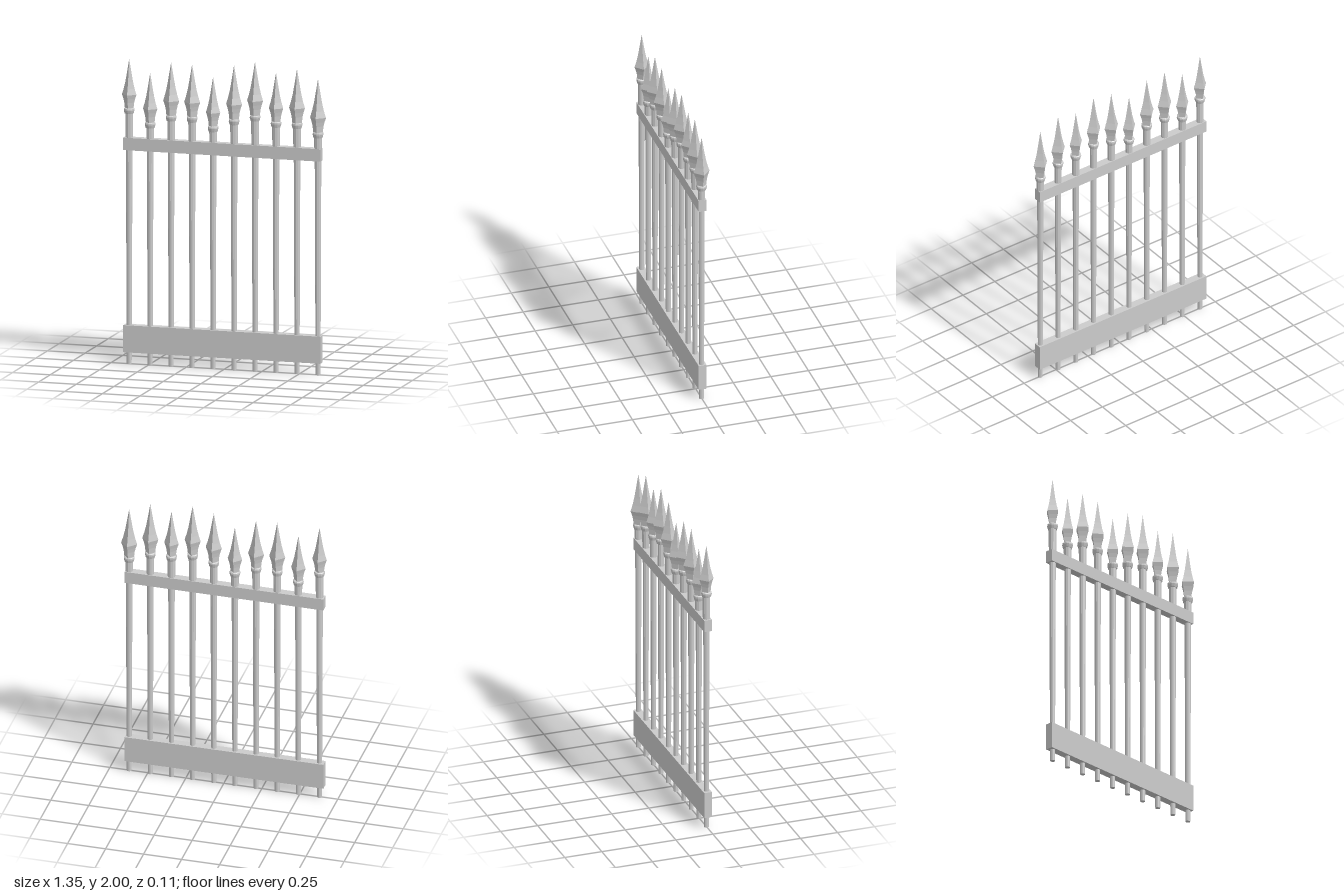
import * as THREE from 'three';

const flat = new THREE.MeshStandardMaterial({ color: 0xcccccc, flatShading: true });

function lathe(name, points, sides) {
  const profile = points.map(([r, y]) => new THREE.Vector2(r, y));
  const mesh = new THREE.Mesh(new THREE.LatheGeometry(profile, sides), flat);
  mesh.name = name;
  return mesh;
}

function rail(name, bottom, top) {
  const mesh = new THREE.Mesh(new THREE.BoxGeometry(1.308, top - bottom, 0.052), flat);
  mesh.name = name;
  mesh.position.set(-0.008, (bottom + top) / 2, 0);
  return mesh;
}

// One picket: tapered post, collar and four-sided spearhead
function picket(collarY, tipY, tipRadius) {
  const group = new THREE.Group();
  group.name = 'picket';

  group.add(lathe('post', [
    [0, 0], [0.016, 0], [0.0185, 0.7], [0.021, 1.38], [0.024, 1.47], [0.025, collarY], [0, collarY],
  ], 10));

  const collar = lathe('collar', [
    [0, -0.018], [0.029, -0.018], [0.032, -0.008], [0.035, 0.004], [0.034, 0.014], [0.029, 0.018], [0, 0.018],
  ], 12);
  collar.position.y = collarY;
  group.add(collar);

  // Concave spear profile, widest a quarter of the way up
  const base = collarY + 0.015;
  const height = tipY - base;
  const spear = lathe('spearhead', [
    [0, 0], [0.6, 0], [0.69, 0.12], [0.82, 0.2], [1, 0.28],
    [0.75, 0.4], [0.53, 0.54], [0.34, 0.7], [0.16, 0.86], [0, 1],
  ].map(([r, y]) => [r * tipRadius, y * height]), 4);
  spear.position.y = base;
  group.add(spear);
  return group;
}

export function createModel() {
  const model = new THREE.Group();
  model.name = 'fencePanel';

  model.add(rail('bottomRail', 0.077, 0.252), rail('topRail', 1.383, 1.463));

  // Collar height, tip height and spear radius of each picket, from right to left
  const pickets = [
    [1.635, 1.97, 0.048], [1.55, 1.888, 0.048], [1.603, 1.965, 0.053], [1.603, 1.958, 0.053],
    [1.55, 1.886, 0.048], [1.603, 1.97, 0.053], [1.635, 2.0, 0.053], [1.603, 1.938, 0.048],
    [1.603, 1.97, 0.053], [1.55, 1.912, 0.053],
  ];
  pickets.forEach((sizes, i) => {
    const p = picket(...sizes);
    p.position.x = -0.63 + i * 0.1392;
    model.add(p);
  });
  return model;
}
